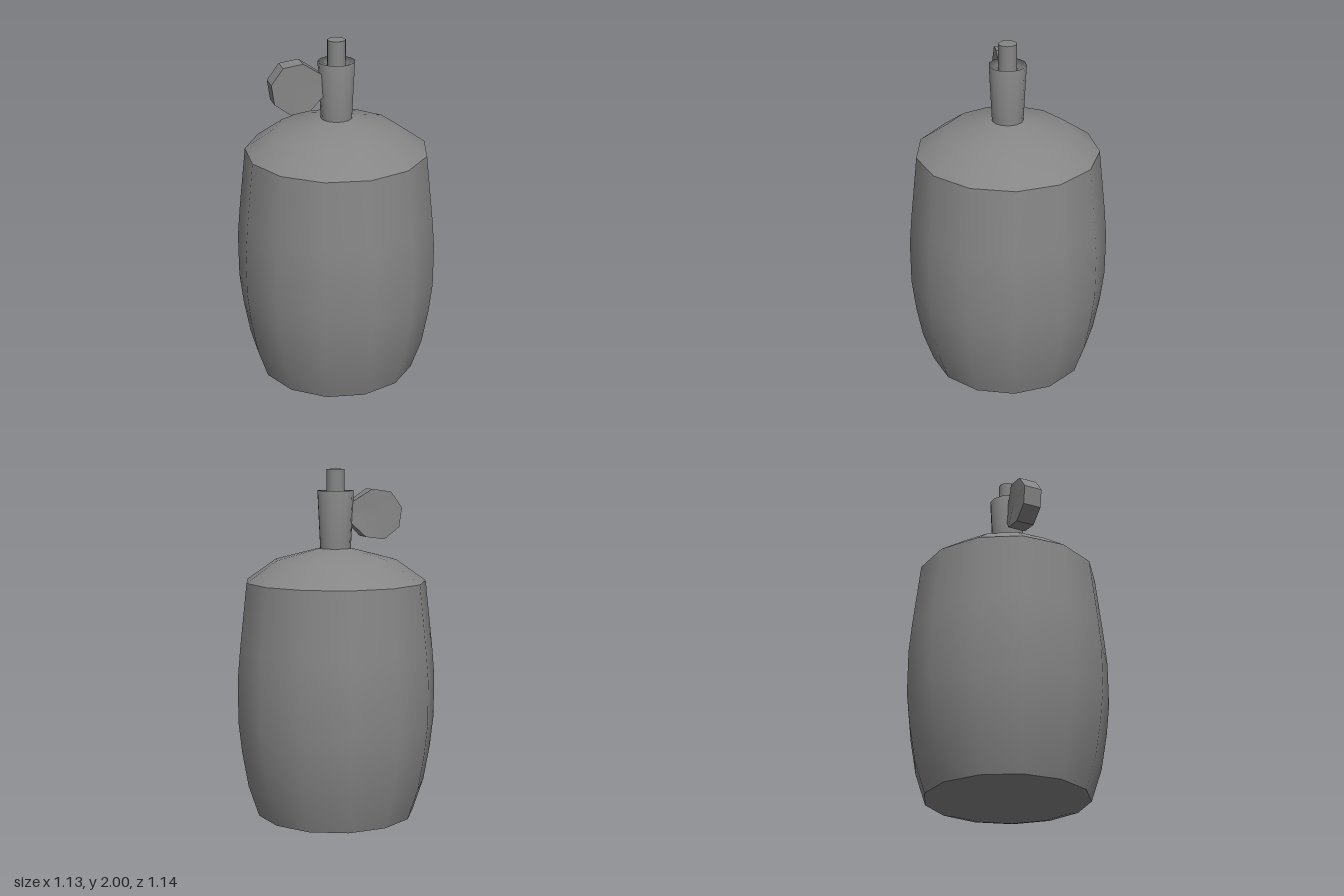
import * as THREE from 'three';
import { toCreasedNormals } from 'three/addons/utils/BufferGeometryUtils.js';

const SIDES = 13;
const metal = new THREE.MeshStandardMaterial({ color: 0x868686, side: THREE.DoubleSide });

// Turned part from [radius, height] pairs, with one corner pointing to +x
function turned(name, profile) {
  const points = profile.map(([r, y]) => new THREE.Vector2(r, y));
  const mesh = new THREE.Mesh(new THREE.LatheGeometry(points, SIDES, Math.PI / 2), metal);
  mesh.name = name;
  return mesh;
}

// Slightly turned octagonal disc, pinched where it runs into the neck
function handleGeometry() {
  const disc = new THREE.CylinderGeometry(0.147, 0.147, 0.108, 8);
  disc.rotateX(Math.PI / 2).rotateZ(THREE.MathUtils.degToRad(14.5));
  const p = disc.attributes.position;
  for (let i = 0; i < p.count; i++) {
    if (p.getX(i) < -0.1) {
      p.setXYZ(i, p.getX(i) - 0.03, p.getY(i) * 0.85, p.getZ(i) * 0.6 - 0.014);
    }
  }
  disc.translate(0.234, 0, 0.016);
  return toCreasedNormals(disc, 0.6);
}

export function createModel() {
  const model = new THREE.Group();
  model.name = 'canister';

  // Barrel-shaped body, closed by a shallow base and a domed shoulder
  model.add(turned('body', [
    [0.458, 0.02], [0.518, 0.2], [0.553, 0.4], [0.573, 0.58],
    [0.573, 0.83], [0.558, 1.0], [0.517, 1.37],
  ]));
  model.add(turned('base', [[0, 0], [0.39, 0.003], [0.458, 0.02]]));
  model.add(turned('shoulder', [[0.517, 1.37], [0.347, 1.49], [0.095, 1.555], [0, 1.557]]));

  // Flared neck with a funnel rim, and the stem rising from it
  model.add(turned('neck', [[0.088, 1.55], [0.104, 1.88], [0.05, 1.85]]));
  const stem = new THREE.Mesh(new THREE.CylinderGeometry(0.051, 0.051, 0.2, SIDES), metal);
  stem.name = 'stem';
  stem.position.y = 1.9;
  model.add(stem);

  // Octagonal valve handle reaching out to the front right
  const handle = new THREE.Mesh(handleGeometry(), metal);
  handle.name = 'valveHandle';
  handle.position.y = 1.746;
  handle.rotation.y = THREE.MathUtils.degToRad(210);
  model.add(handle);

  for (const part of model.children) part.position.x = -0.008;
  return model;
}
